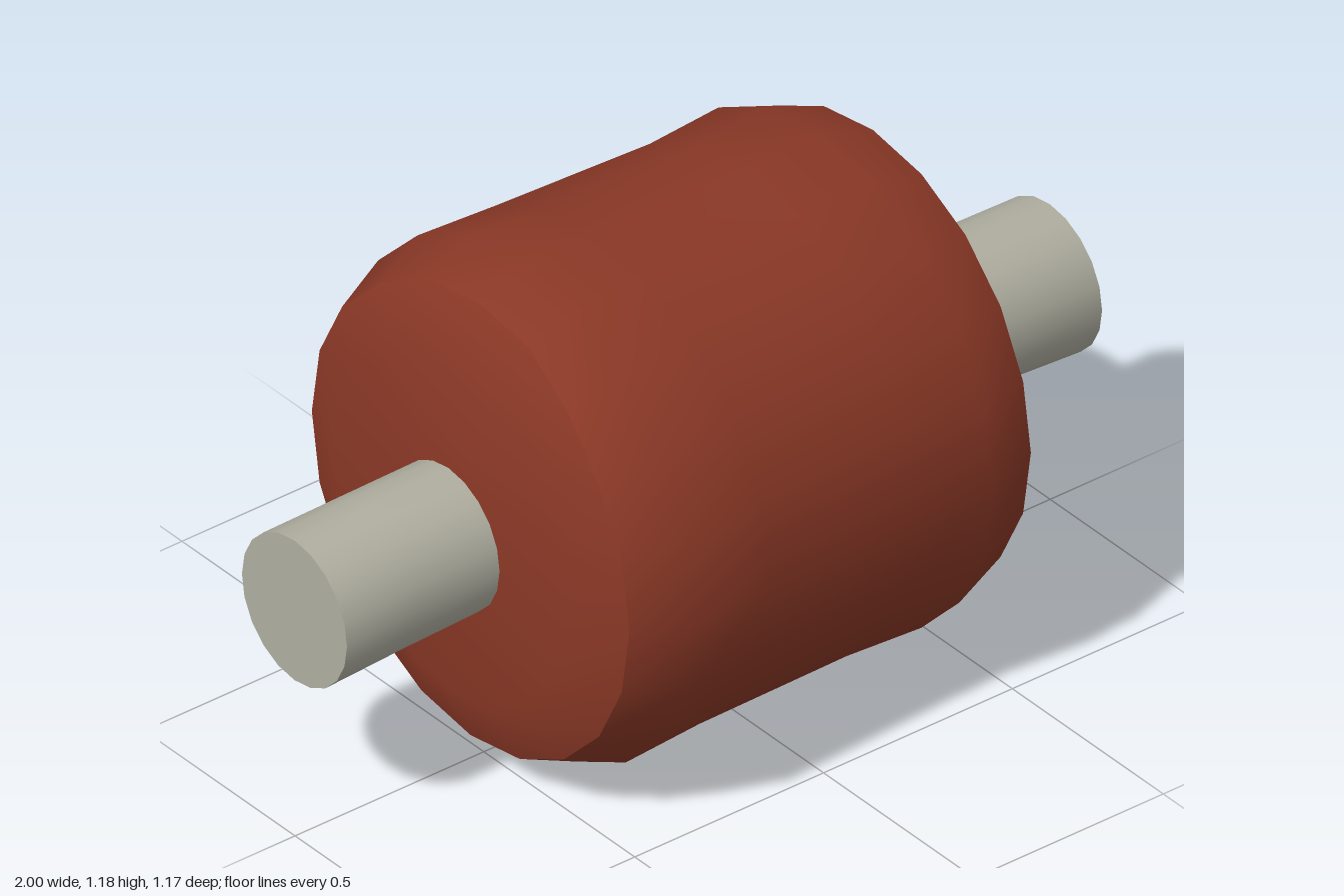
import * as THREE from 'three';

const SIDES = 20;

// Skins elliptical rings [x, centreY, radiusY, radiusZ, centreZ] along the x axis.
// bend(x, cosine) can shift a point along x.
function loft(name, rings, material, bend = (x) => x) {
  const positions = [], index = [];
  for (const [x, cy, ry, rz, cz = 0] of rings) {
    for (let j = 0; j < SIDES; j++) {
      const a = (j / SIDES) * Math.PI * 2;
      positions.push(bend(x, Math.cos(a)), cy + ry * Math.cos(a), cz + rz * Math.sin(a));
    }
  }
  for (let i = 0; i < rings.length - 1; i++) {
    for (let j = 0; j < SIDES; j++) {
      const k = (j + 1) % SIDES;
      const a = i * SIDES + j, b = i * SIDES + k, c = a + SIDES, d = b + SIDES;
      index.push(a, b, c, b, d, c);
    }
  }
  const geometry = new THREE.BufferGeometry();
  geometry.setAttribute('position', new THREE.Float32BufferAttribute(positions, 3));
  geometry.setIndex(index);
  geometry.computeVertexNormals();
  const mesh = new THREE.Mesh(geometry, material);
  mesh.name = name;
  return mesh;
}

export function createModel() {
  const clay = new THREE.MeshStandardMaterial({ color: 0x8a3826 });
  clay.name = 'red brown';
  const pale = new THREE.MeshStandardMaterial({ color: 0xafaea0 });
  pale.name = 'pale grey';

  const model = new THREE.Group();
  model.name = 'roller';

  // Small dent in the upper rim of the right-hand end
  const dent = (x, c) => (x === -0.535 ? x + 0.025 * THREE.MathUtils.smoothstep(c, 0.7, 0.95) : x);

  // Barrel with a shallow waist and bevelled shoulders
  const rightRim = [-0.535, 0.592, 0.532, 0.526];
  const leftRim = [0.53, 0.592, 0.53, 0.524];
  model.add(loft('barrel', [
    rightRim,
    [-0.4, 0.592, 0.588, 0.587],
    [-0.2, 0.593, 0.579, 0.575],
    [0.2, 0.587, 0.578, 0.554],
    [0.39, 0.588, 0.584, 0.571],
    leftRim,
  ], clay, dent));

  // Slightly domed ends, kept separate for a sharp rim
  model.add(loft('rightEnd', [
    [-0.592, 0.59, 0, 0], [-0.592, 0.59, 0.388, 0.388], rightRim,
  ], clay, dent));
  model.add(loft('leftEnd', [
    leftRim, [0.586, 0.59, 0.39, 0.388], [0.586, 0.59, 0, 0],
  ], clay));

  // Axle, drooping a little towards both ends
  const axleEnd = (x) => [x, 0.565, 0.174, 0.174, -0.002];
  model.add(loft('axle', [
    axleEnd(-1),
    [-0.8, 0.573, 0.171, 0.171, -0.002],
    [-0.57, 0.58, 0.169, 0.169, -0.002],
    [0.57, 0.58, 0.169, 0.169, -0.002],
    [0.8, 0.573, 0.171, 0.171, -0.002],
    axleEnd(1),
  ], pale));
  for (const [side, s] of [['right', -1], ['left', 1]]) {
    const centre = [s, 0.565, 0, 0, -0.002];
    const rings = s < 0 ? [centre, axleEnd(s)] : [axleEnd(s), centre];
    model.add(loft(side + 'AxleCap', rings, pale));
  }
  return model;
}
